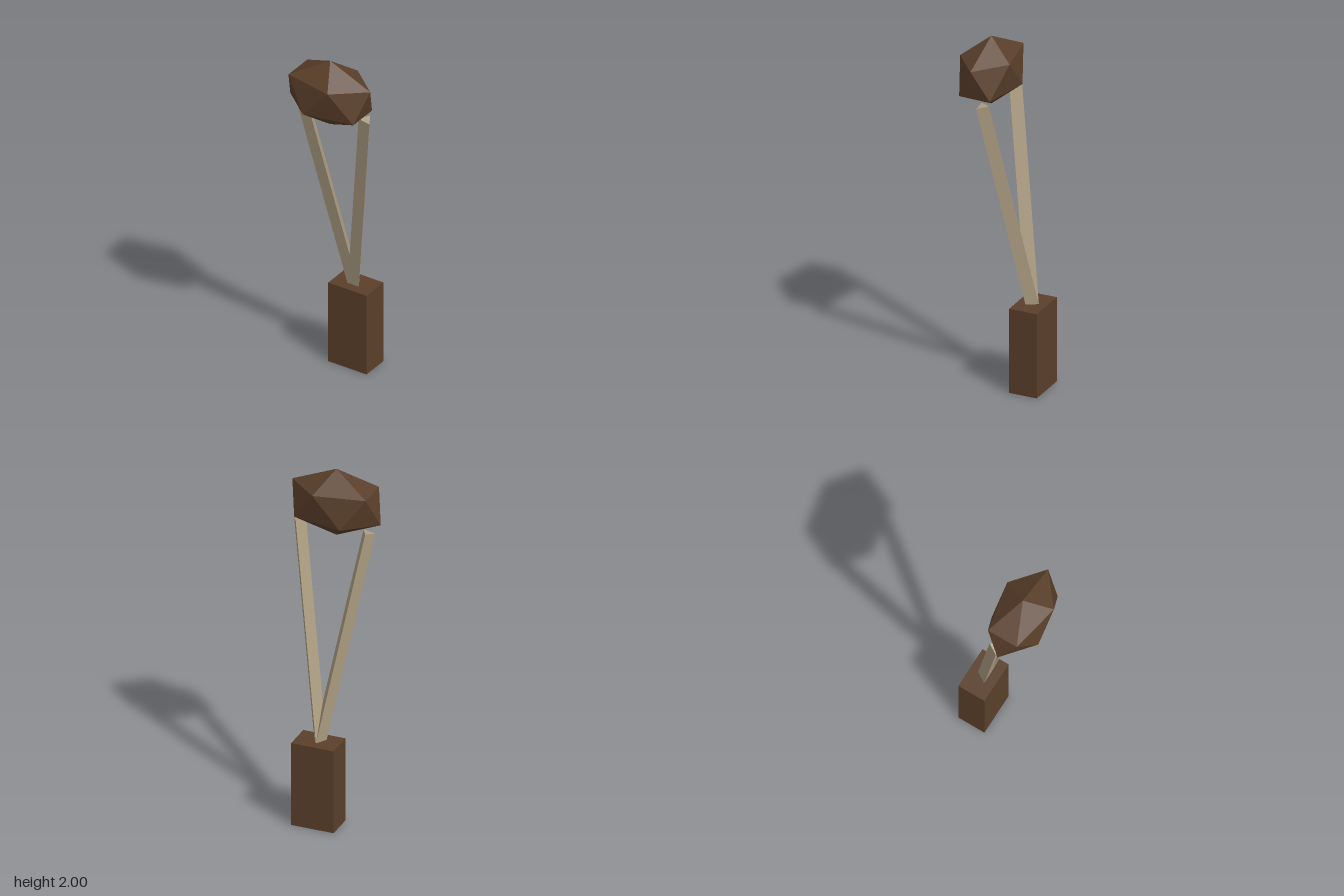
import * as THREE from 'three';

export function createModel() {
  const group = new THREE.Group();
  const darkBrown = new THREE.MeshStandardMaterial({ color: 0x5a3f2a, flatShading: true });
  darkBrown.name = 'dark brown';
  const tan = new THREE.MeshStandardMaterial({ color: 0xad9d82, flatShading: true });
  tan.name = 'tan';

  const add = (name, geometry, material) => {
    const mesh = new THREE.Mesh(geometry, material);
    mesh.name = name;
    group.add(mesh);
    return mesh;
  };

  // Upright block at the back
  add('block', new THREE.BoxGeometry(0.244, 0.49, 0.163), darkBrown).position.set(0, 0.245, -0.1555);

  // Two three-sided cords spreading up and forward from the block
  const up = new THREE.Vector3(0, 1, 0);
  const bottom = new THREE.Vector3(0, 0.485, -0.15);
  for (const side of [1, -1]) {
    const top = new THREE.Vector3(0.2 * side, 1.68, 0.047);
    const direction = top.clone().sub(bottom);
    const cord = add(side > 0 ? 'leftCord' : 'rightCord',
      new THREE.CylinderGeometry(0.04, 0.04, direction.length(), 3, 1, false, Math.PI), tan);
    cord.position.copy(top).add(bottom).multiplyScalar(0.5);
    cord.quaternion.setFromUnitVectors(up, direction.normalize());
  }

  // Faceted pouch: a stretched icosahedron standing on one corner
  const pouch = new THREE.IcosahedronGeometry(1, 0);
  pouch.rotateZ(-Math.atan(2 / (1 + Math.sqrt(5))));
  pouch.scale(0.285, 0.1975, 0.171);
  add('pouch', pouch, darkBrown).position.set(0, 1.8025, 0.09);

  return group;
}
